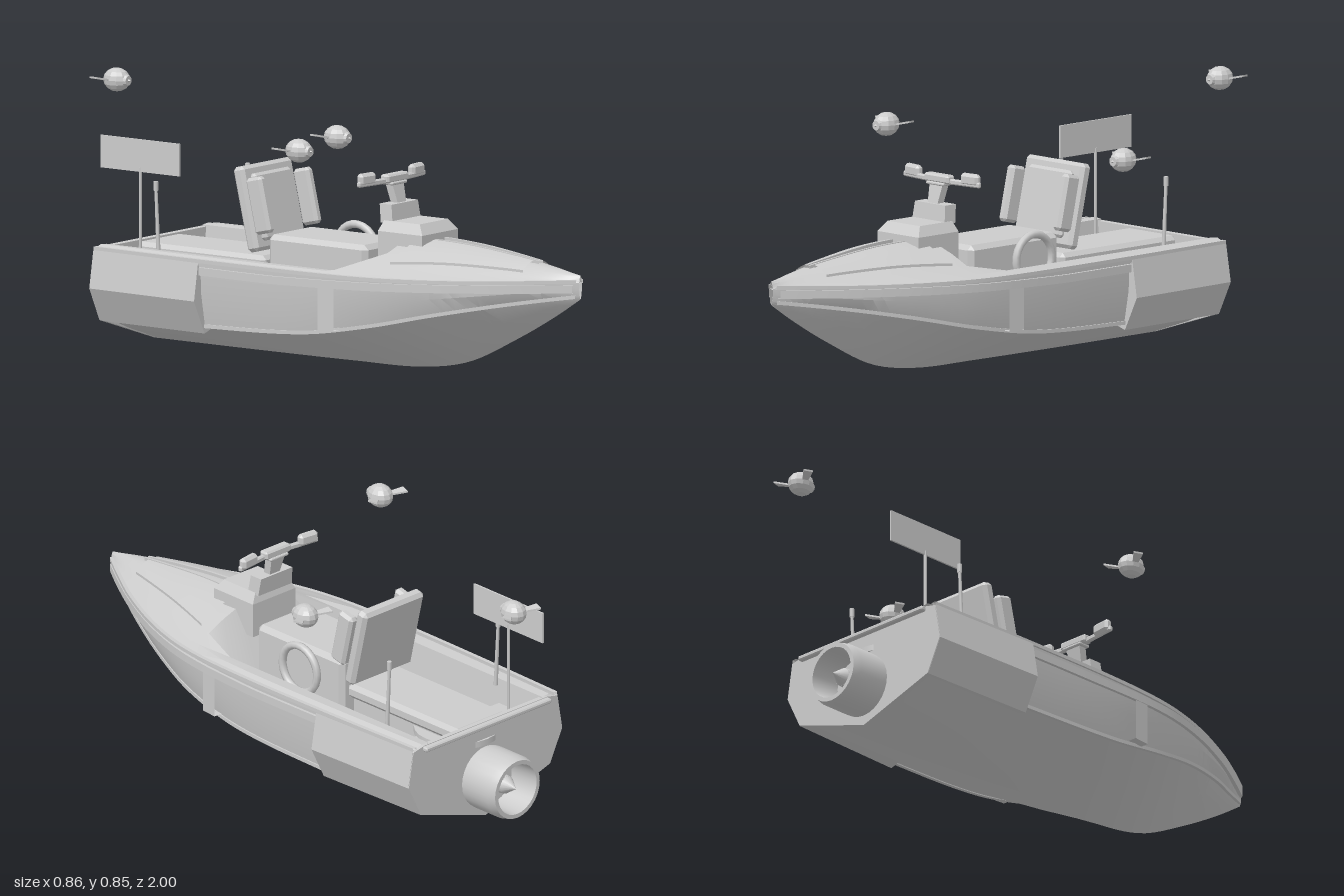
import * as THREE from 'three';
import { toCreasedNormals } from 'three/addons/utils/BufferGeometryUtils.js';
import { ConvexGeometry } from 'three/addons/geometries/ConvexGeometry.js';

const grey = new THREE.MeshStandardMaterial({ color: 0xcccccc, side: THREE.DoubleSide });
const flat = new THREE.MeshStandardMaterial({ color: 0xcccccc, side: THREE.DoubleSide, flatShading: true });

function add(parent, name, geo, x = 0, y = 0, z = 0, mat = grey) {
  const m = new THREE.Mesh(geo, mat);
  m.name = name;
  m.position.set(x, y, z);
  parent.add(m);
  return m;
}

// Hull stations: z, keel y, chine x, chine y, rail x, rail y, deck crown y
const stations = [
  [-0.73, 0.003, 0.29, 0.11, 0.315, 0.33, 0.43],
  [-0.3, 0.003, 0.30, 0.118, 0.325, 0.33, 0.43],
  [0.1, 0.005, 0.30, 0.135, 0.325, 0.33, 0.43],
  [0.35, 0.01, 0.275, 0.175, 0.305, 0.33, 0.43],
  [0.55, 0.045, 0.22, 0.22, 0.25, 0.332, 0.425],
  [0.75, 0.14, 0.135, 0.26, 0.16, 0.336, 0.405],
  [0.9, 0.225, 0.055, 0.285, 0.073, 0.342, 0.385],
  [1.0, 0.29, 0.004, 0.30, 0.008, 0.345, 0.368],
];

// Smooth interpolation of the stations
function at(z) {
  const n = stations.length;
  let i = 0;
  while (i < n - 2 && z > stations[i + 1][0]) i++;
  const a = stations[i], b = stations[i + 1], h = b[0] - a[0], t = (z - a[0]) / h;
  const slope = (k, c) => {
    const p = stations[Math.max(k - 1, 0)], q = stations[Math.min(k + 1, n - 1)];
    return (q[c] - p[c]) / (q[0] - p[0]);
  };
  const v = a.map((_, c) => (2 * t ** 3 - 3 * t * t + 1) * a[c] + (t ** 3 - 2 * t * t + t) * h * slope(i, c)
    + (3 * t * t - 2 * t ** 3) * b[c] + (t ** 3 - t * t) * h * slope(i + 1, c));
  return { keel: v[1], cx: v[2], cy: v[3], rx: v[4], ry: v[5], crown: v[6] };
}

const range = (a, b, n) => Array.from({ length: n + 1 }, (_, i) => a + (b - a) * i / n);

// Surface through rows of [x, y, z] points
function loft(rows, crease = 0.45) {
  const w = rows[0].length, idx = [];
  for (let r = 0; r < rows.length - 1; r++) for (let c = 0; c < w - 1; c++) {
    const i = r * w + c;
    idx.push(i, i + 1, i + w, i + 1, i + w + 1, i + w);
  }
  const g = new THREE.BufferGeometry();
  g.setAttribute('position', new THREE.Float32BufferAttribute(rows.flat(2), 3));
  g.setIndex(idx);
  return toCreasedNormals(g, crease);
}

// Full row from a half row that ends on the centre line
const mirrorRow = half => [...half, ...half.slice(0, -1).reverse().map(([x, y, z]) => [-x, y, z])];

// Rectangular strip that follows f(z) = [x, y] on both sides
function strips(parent, name, f, zs, w, h) {
  for (const s of [1, -1]) {
    add(parent, name, loft(zs.map(z => {
      const [x, y] = f(z);
      return [[-w, -h], [w, -h], [w, h], [-w, h], [-w, -h]].map(([dx, dy]) => [s * Math.max(x + dx, 0), y + dy, z]);
    })));
  }
}

const hullOf = pts => new ConvexGeometry(pts.map(p => new THREE.Vector3(...p)));

// Box with chamfered edges
function bevelBox(w, h, d, b) {
  const pts = [];
  for (const x of [-1, 1]) for (const y of [-1, 1]) for (const z of [-1, 1]) {
    const X = x * w / 2, Y = y * h / 2, Z = z * d / 2;
    pts.push([X, Y - y * b, Z - z * b], [X - x * b, Y, Z - z * b], [X - x * b, Y - y * b, Z]);
  }
  return hullOf(pts);
}

const deckY = (x, z) => {
  const s = at(z), t = Math.min(Math.abs(x) / s.rx, 1);
  return s.ry + (s.crown - s.ry) * Math.max(Math.cos(t * Math.PI / 2), 0) ** 1.3;
};

function buildHull(boat) {
  add(boat, 'hull', loft(range(-0.73, 1, 48).map(z => {
    const s = at(z);
    return mirrorRow([
      [s.rx, s.ry, z],
      [s.cx + (s.rx - s.cx) * 0.8, s.cy + (s.ry - s.cy) * 0.5, z],
      [s.cx, s.cy, z],
      [s.cx * 0.55, s.keel + (s.cy - s.keel) * 0.5, z],
      [0, s.keel, z],
    ]);
  }), 0.3));

  // Foredeck that drops into the open cockpit
  const cockpit = z => {
    const rx = at(z).rx;
    return mirrorRow([[rx, 0.33, z], [rx - 0.03, 0.343, z], [0.255, 0.34, z], [0.238, 0.21, z], [0.12, 0.2, z], [0, 0.2, z]]);
  };
  const fore = z => mirrorRow([1, 0.86, 0.7, 0.48, 0.24, 0].map(t => {
    const x = t * at(z).rx;
    return [x, deckY(x, z), z];
  }));
  add(boat, 'deck', loft([...range(-0.73, 0.19, 8).map(cockpit), ...range(0.33, 1, 22).map(fore)]));

  // Raised foredeck hatches and centre ridges
  for (const s of [1, -1]) {
    add(boat, 'hatch', loft(range(0.38, 0.82, 10).map(z => {
      const k = (z - 0.38) / 0.44, a = 0.035 - 0.02 * k, b = 0.2 - 0.13 * k;
      const row = [0, 0.33, 0.67, 1].map(u => [s * (a + (b - a) * u), deckY(a + (b - a) * u, z) + 0.008, z]);
      return [[s * a, deckY(a, z) - 0.01, z], ...row, [s * b, deckY(b, z) - 0.01, z]];
    })));
  }
  strips(boat, 'deckRidge', z => [0.028 - 0.02 * (z - 0.4) / 0.42, deckY(0, z)], range(0.4, 0.84, 8), 0.004, 0.008);

  // Rails and strakes
  strips(boat, 'rubRail', z => [at(z).rx, 0.3 + 0.025 * Math.max(z, 0)], range(-0.3, 0.985, 32), 0.009, 0.013);
  strips(boat, 'gunwale', z => [at(z).rx, at(z).ry + 0.003], range(-0.73, 0.995, 40), 0.007, 0.006);
  strips(boat, 'chineStrake', z => [at(z).cx, at(z).cy], range(-0.3, 0.99, 32), 0.006, 0.006);
  strips(boat, 'sideBand', z => [at(z).cx + 0.018, 0.225], [0.185, 0.245], 0.016, 0.07);

  // Stern sponsons
  for (const s of [1, -1]) {
    const ring = [[0.27, 0.33], [0.337, 0.328], [0.358, 0.205], [0.303, 0.094], [0.26, 0.107]];
    add(boat, 'sponson', hullOf([
      ...ring.map(([x, y]) => [s * x, y, -0.295]),
      ...ring.map(([x, y]) => [s * (x - 0.014), y, -0.73]),
    ].filter(p => Math.abs(p[0]) > 0.29 || p[1] < 0.2)));
  }

  // Transom with a lip along its top
  add(boat, 'transom', hullOf([-0.715, -0.732].flatMap(z => [1, -1].flatMap(s =>
    [[0, 0.003], [0.246, 0.1], [0.289, 0.095], [0.343, 0.205], [0.322, 0.325], [0.275, 0.335]].map(([x, y]) => [s * x, y, z])))));
  add(boat, 'transomLip', bevelBox(0.56, 0.016, 0.035, 0.004), 0, 0.325, -0.733);
  add(boat, 'rearDeck', new THREE.BoxGeometry(0.5, 0.05, 0.18), 0, 0.235, -0.63);
  add(boat, 'rearHatch', new THREE.CylinderGeometry(0.14, 0.14, 0.02, 24), 0, 0.265, -0.6);
}

function buildNozzle(boat) {
  const jet = new THREE.Group();
  jet.name = 'jetNozzle';
  jet.position.set(0, 0.142, -0.72);
  jet.rotation.x = -Math.PI / 2;
  boat.add(jet);
  const shell = [[0.104, 0], [0.107, 0.03], [0.107, 0.13], [0.1, 0.16], [0.086, 0.16], [0.08, 0.05], [0, 0.05]];
  add(jet, 'nozzleShell', toCreasedNormals(new THREE.LatheGeometry(shell.map(p => new THREE.Vector2(...p)), 28), 0.5));
  add(jet, 'nozzleHub', new THREE.CylinderGeometry(0.03, 0.035, 0.06, 16), 0, 0.08, 0);
  add(jet, 'nozzleCone', new THREE.ConeGeometry(0.03, 0.045, 16), 0, 0.132, 0);
}

function buildCockpit(boat) {
  add(boat, 'frontSeat', bevelBox(0.232, 0.205, 0.4, 0.016), 0, 0.302, 0.015);
  add(boat, 'rearBench', bevelBox(0.225, 0.05, 0.52, 0.014), 0, 0.306, -0.46);
  add(boat, 'benchBase', new THREE.BoxGeometry(0.19, 0.1, 0.48), 0, 0.24, -0.46);

  // Leaning backrest with side bolsters
  const back = new THREE.Group();
  back.name = 'backrest';
  back.position.set(0, 0.48, -0.262);
  back.rotation.x = -0.23;
  boat.add(back);
  add(back, 'backPanel', bevelBox(0.27, 0.28, 0.045, 0.012));
  for (const s of [1, -1]) add(back, 'bolster', bevelBox(0.035, 0.185, 0.065, 0.01), s * 0.125, 0.005, 0.06);
  add(back, 'backCushion', bevelBox(0.2, 0.22, 0.03, 0.01), 0, 0, 0.025);

  // Steering console
  add(boat, 'console', hullOf([[0.095, 0.34, 0.25, 0.43], [0.095, 0.455, 0.25, 0.43], [0.075, 0.488, 0.26, 0.405]]
    .flatMap(([x, y, z0, z1]) => [[x, y, z0], [-x, y, z0], [x, y, z1], [-x, y, z1]])));
  const taper = (w0, w1, y0, y1, z0, z1, d) => hullOf([[w0, y0, z0], [w1, y1, z1]]
    .flatMap(([w, y, z]) => [[w, y, z - d], [-w, y, z - d], [w, y, z + d], [-w, y, z + d]]));
  add(boat, 'consoleRiser', taper(0.075, 0.07, 0.48, 0.54, 0.27, 0.262, 0.024));
  add(boat, 'steeringColumn', taper(0.022, 0.03, 0.535, 0.6, 0.262, 0.245, 0.014));
  add(boat, 'barClamp', bevelBox(0.112, 0.028, 0.035, 0.006), 0, 0.618, 0.245);
  add(boat, 'barPlate', bevelBox(0.08, 0.01, 0.045, 0.003), 0, 0.602, 0.245);
  for (const s of [1, -1]) {
    add(boat, 'handlebar', bevelBox(0.13, 0.018, 0.016, 0.004), s * 0.11, 0.612, 0.238).rotation.y = s * 0.12;
    add(boat, 'grip', bevelBox(0.074, 0.04, 0.028, 0.009), s * 0.132, 0.626, 0.232).rotation.y = s * 0.12;
  }

  // Ring leaning on the seat, with small stubs beside it
  const ring = add(boat, 'lifeRing', new THREE.TorusGeometry(0.08, 0.013, 8, 24), 0.155, 0.34, -0.03);
  ring.rotation.set(0, Math.PI / 2, 0.35);
  for (const z of [-0.07, -0.02, 0.03]) add(boat, 'stub', new THREE.CylinderGeometry(0.008, 0.008, 0.05, 8), 0.205, 0.235, z);
}

function buildPoles(boat) {
  for (const s of [1, -1]) {
    const rod = add(boat, 'sternRod', new THREE.CylinderGeometry(0.005, 0.007, 0.24, 8), s * 0.243, 0.44, -0.533);
    rod.rotation.x = -0.05;
    add(boat, 'rodTip', new THREE.CylinderGeometry(0.008, 0.008, 0.03, 8), s * 0.243, 0.545, -0.538);
  }
  add(boat, 'flagPole', new THREE.CylinderGeometry(0.005, 0.005, 0.34, 8), -0.19, 0.42, -0.642);
  add(boat, 'flag', new THREE.BoxGeometry(0.006, 0.106, 0.32), -0.19, 0.628, -0.642);
}

// Small flying creature with a round body and swept wings
function buildFlyer(root, x, y, z) {
  const g = new THREE.Group();
  g.name = 'flyer';
  g.position.set(x, y, z);
  root.add(g);
  add(g, 'body', new THREE.SphereGeometry(0.039, 12, 8), 0, 0, 0, flat).scale.z = 1.2;
  add(g, 'snout', new THREE.CylinderGeometry(0.016, 0.021, 0.012, 12), 0, 0, 0.042, flat).rotation.x = Math.PI / 2;
  add(g, 'beak', new THREE.ConeGeometry(0.007, 0.012, 4), 0, 0, 0.051, flat).rotation.x = Math.PI / 2;
  for (const s of [1, -1]) {
    add(g, 'wing', hullOf([-0.003, 0.003].flatMap(d => [
      [s * 0.028, d, 0.0], [s * 0.028, d, -0.022], [s * 0.078, 0.012 + d, -0.025], [s * 0.068, 0.01 + d, -0.058],
    ])));
  }
}

export function createModel() {
  const root = new THREE.Group();
  root.name = 'patrolBoat';
  const boat = new THREE.Group();
  boat.name = 'boat';
  boat.position.x = 0.008;
  root.add(boat);
  buildHull(boat);
  buildNozzle(boat);
  buildCockpit(boat);
  buildPoles(boat);
  buildFlyer(root, -0.352, 0.738, 0.132);
  buildFlyer(root, 0.085, 0.815, -0.942);
  buildFlyer(root, 0.35, 0.66, -0.25);
  return root;
}
